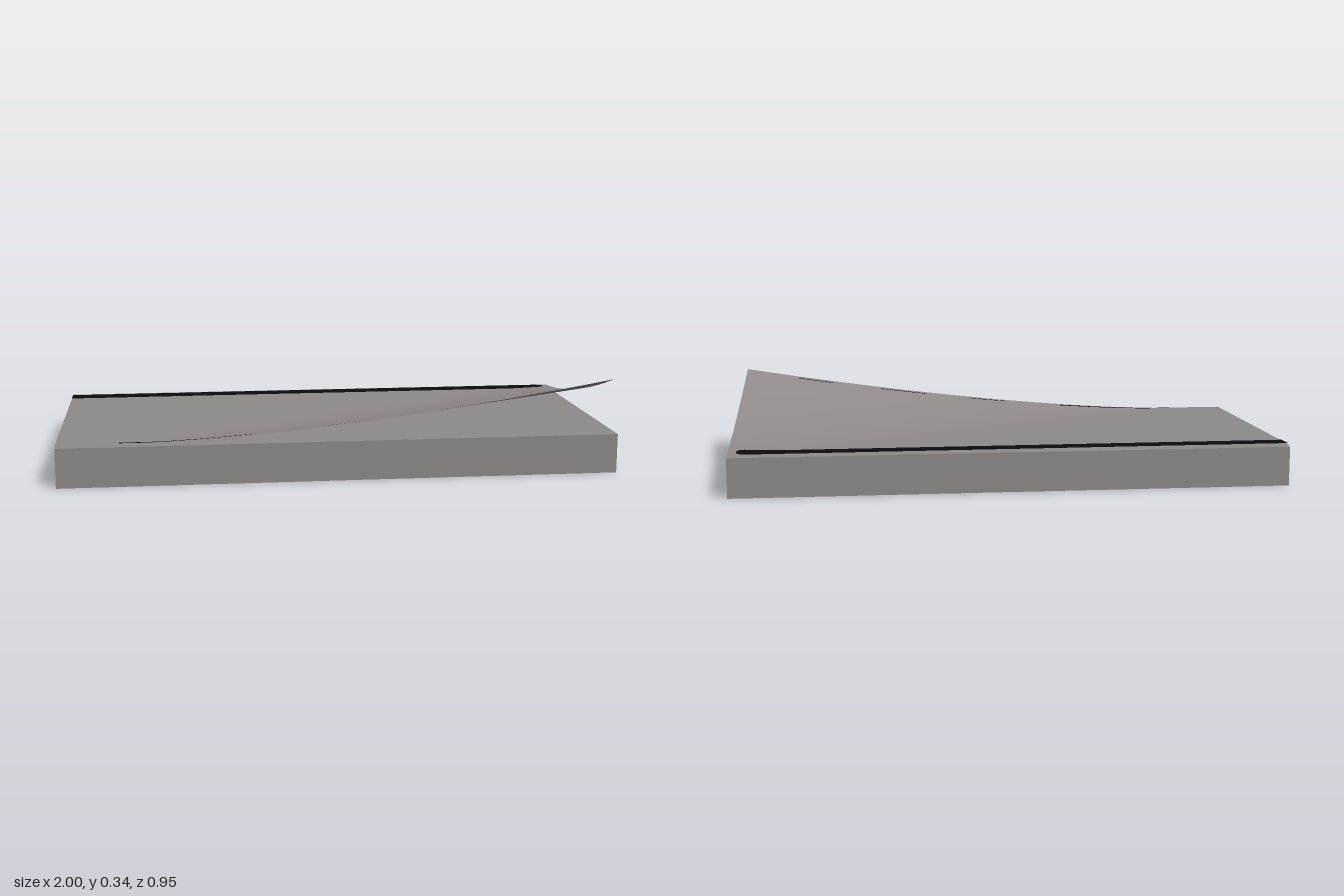
import * as THREE from 'three';

const WIDTH = 2, DEPTH = 0.95, PAD_HEIGHT = 0.142, SHEET_Y = 0.148;

// Bends a flat layout point so the front corner at +x curls up along a diagonal
function curl(x, z, offset) {
  const d = Math.max(0, (x - 1) / 1.74 + (z - 0.475) / 0.97 + 1);
  return [x - 0.015 * d * d, SHEET_Y + 0.192 * Math.pow(d, 1.5) + offset, z - 0.02 * d * d];
}

function bend(geometry, offset = 0) {
  geometry.rotateX(-Math.PI / 2);
  const p = geometry.attributes.position;
  for (let i = 0; i < p.count; i++) p.setXYZ(i, ...curl(p.getX(i), p.getZ(i), offset));
  geometry.computeVertexNormals();
  return geometry;
}

// Flat band from x0 to x1, centred on z, laid on the curled sheet
function band(x0, x1, z, width, rounded) {
  const g = new THREE.PlaneGeometry(x1 - x0, width, 64, 8);
  g.translate((x0 + x1) / 2, -z, 0);
  if (rounded) {
    const p = g.attributes.position, r = width / 2;
    for (let i = 0; i < p.count; i++) {
      const t = (p.getX(i) - x0) / (x1 - x0);
      const v = (p.getY(i) + z) / r;
      const cut = r * (1 - Math.sqrt(Math.max(0, 1 - v * v)));
      p.setX(i, p.getX(i) - 0.7 * cut * t);
      p.setY(i, p.getY(i) + 0.01 * (t - 0.5)); // slight hand-laid slant
    }
  }
  return bend(g, 0.003);
}

export function createModel() {
  const group = new THREE.Group();
  const paper = new THREE.MeshStandardMaterial({ color: 0x8f8a87, side: THREE.DoubleSide });
  paper.name = 'grey paper';
  const black = new THREE.MeshStandardMaterial({ color: 0x0c0c0c, side: THREE.DoubleSide });
  black.name = 'black';

  const add = (name, geometry, material) => {
    const mesh = new THREE.Mesh(geometry, material);
    mesh.name = name;
    group.add(mesh);
    return mesh;
  };

  // Stack of notes
  add('pad', new THREE.BoxGeometry(WIDTH, PAD_HEIGHT, DEPTH), paper).position.y = PAD_HEIGHT / 2;

  // Loose top note with its lifted corner
  add('topSheet', bend(new THREE.PlaneGeometry(WIDTH, DEPTH, 64, 40)), paper);

  // Adhesive strip along the back edge
  add('adhesiveStrip', band(-1, 0.97, -0.418, 0.072, true), black);

  // Fine broken line near the front edge
  const dashes = [[-0.78, -0.31, 0.01], [-0.07, 0.08, 0.005], [0.26, 0.45, 0.005], [0.65, 0.79, 0.005]];
  for (const [x0, x1, w] of dashes) add('edgeDash', band(x0, x1, 0.45, w, false), black);

  return group;
}
